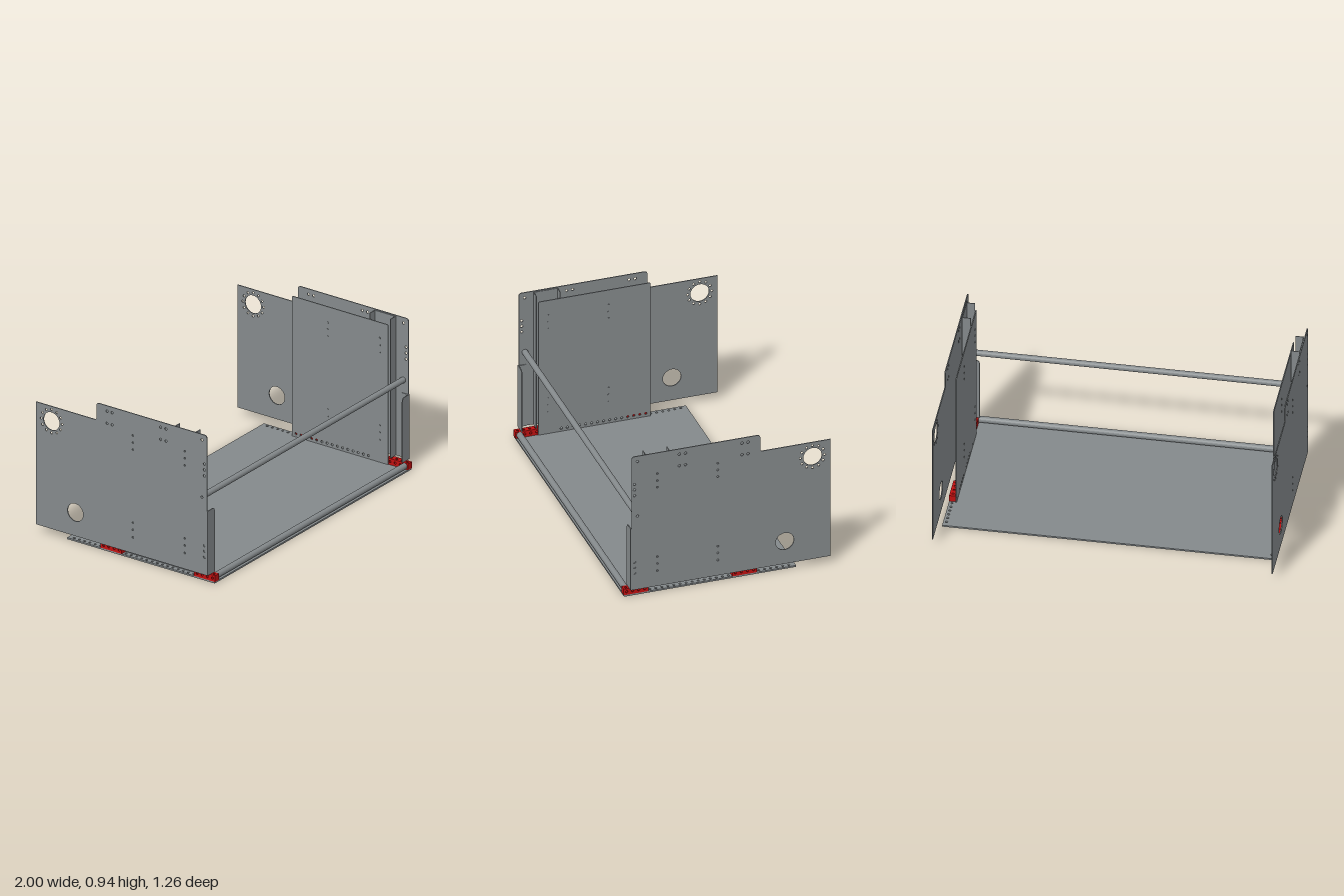
import * as THREE from 'three';

const grey = new THREE.MeshStandardMaterial({ color: 0x84898b });
grey.name = 'steelGrey';
const red = new THREE.MeshStandardMaterial({ color: 0xc01010 });
red.name = 'bracketRed';

const PITCH = 0.037;
const rowZ = (k) => -0.168 + PITCH * k; // shared perforation pitch along z

// Outline from [a, b, cornerRadius] points, with round holes [a, b, r]
function outline(points, holes = []) {
  const s = new THREE.Shape();
  const n = points.length;
  points.forEach(([a, b, r = 0], i) => {
    const p = new THREE.Vector2(a, b);
    const toward = (q) => new THREE.Vector2(q[0], q[1]).sub(p).normalize().multiplyScalar(r).add(p);
    const u = toward(points[(i + n - 1) % n]);
    const v = toward(points[(i + 1) % n]);
    if (i === 0) s.moveTo(u.x, u.y); else s.lineTo(u.x, u.y);
    if (r > 0) s.quadraticCurveTo(a, b, v.x, v.y);
  });
  s.closePath();
  for (const [a, b, r] of holes) {
    const h = new THREE.Path();
    h.absarc(a, b, r, 0, Math.PI * 2, true);
    s.holes.push(h);
  }
  return s;
}

const rect = (a0, a1, b0, b1) => [[a0, b0], [a1, b0], [a1, b1], [a0, b1]];

function extrude(shape, depth, curveSegments) {
  return new THREE.ExtrudeGeometry(shape, { depth, bevelEnabled: false, curveSegments });
}

function add(parent, name, geometry, material, x = 0, y = 0, z = 0) {
  const m = new THREE.Mesh(geometry, material);
  m.name = name;
  m.position.set(x, y, z);
  parent.add(m);
  return m;
}

// Upright plate drawn in (z, y); outer face at |x| = xOut on the given side
function sidePlate(parent, name, shape, t, xOut, side, material = grey, seg = 12) {
  const g = extrude(shape, t, seg).rotateY(-Math.PI / 2);
  return add(parent, name, g, material, side > 0 ? xOut : -xOut + t);
}

// Flat plate drawn in (x, z); top face at y = top
function flatPlate(parent, name, shape, t, top, material = grey) {
  return add(parent, name, extrude(shape, t, 6).rotateX(Math.PI / 2), material, 0, top);
}

function box(parent, name, x0, x1, y0, y1, z0, z1, material = grey) {
  return add(parent, name, new THREE.BoxGeometry(Math.abs(x1 - x0), y1 - y0, z1 - z0), material,
    (x0 + x1) / 2, (y0 + y1) / 2, (z0 + z1) / 2);
}

// Hollow round crossbar along x
function crossbar(parent, name, halfLength, r, y, z) {
  const ring = new THREE.Shape();
  ring.absarc(0, 0, r, 0, Math.PI * 2, false);
  const bore = new THREE.Path();
  bore.absarc(0, 0, r - 0.005, 0, Math.PI * 2, true);
  ring.holes.push(bore);
  const g = extrude(ring, halfLength * 2, 20).rotateY(Math.PI / 2);
  return add(parent, name, g, grey, -halfLength, y, z);
}

// Perforated square red tube with holes on all four sides
function redTube(parent, side, k0) {
  const g = new THREE.Group();
  g.name = 'redSpacerTube';
  parent.add(g);
  const z0 = rowZ(k0) - 0.0215, z1 = rowZ(k0 + 3) + 0.0185, t = 0.004;
  const ks = [0, 1, 2, 3].map((i) => rowZ(k0 + i));
  const wall = outline(rect(z0, z1, 0.01, 0.05), ks.map((z) => [z, 0.03, 0.0075]));
  for (const xo of [0.935 + t, 0.974]) sidePlate(g, 'tubeSideWall', wall, t, xo, side, red, 6);
  const xs = [0.939 * side, 0.97 * side].sort((a, b) => a - b);
  const lid = outline(rect(xs[0], xs[1], z0, z1), ks.map((z) => [0.9545 * side, z, 0.0075]));
  for (const top of [0.05, 0.01 + t]) flatPlate(g, 'tubeFlatWall', lid, t, top, red);
  for (const z of [z0, z1 - t]) box(g, 'tubeEnd', xs[0], xs[1], 0.01 + t, 0.05 - t, z, z + t, red);
}

function outerShape() {
  const holes = [[-0.52, 0.735, 0.057], [-0.35, 0.2, 0.056]];
  // bolt circle round the upper opening
  for (let i = 0; i < 12; i++) {
    const a = (i / 12) * Math.PI * 2;
    holes.push([-0.52 + 0.074 * Math.cos(a), 0.735 + 0.074 * Math.sin(a), 0.007]);
  }
  for (const y of [0.905, 0.54]) holes.push([0.552, y, 0.008]);
  for (const y of [0.755, 0.718, 0.68, 0.235, 0.2, 0.162]) holes.push([0.57, y, 0.008]);
  for (const z of [0.295, 0.258, -0.088, -0.125])
    for (const y of [0.905, 0.828]) holes.push([z, y, 0.008]);
  for (const z of [0.43, 0.06])
    for (const y of [0.8, 0.755, 0.71, 0.245, 0.2, 0.152]) holes.push([z, y, 0.006]);
  return outline([[0.588, 0.05], [0.588, 0.94, 0.02], [-0.2, 0.94, 0.02],
    [-0.2, 0.83, 0.015], [-0.63, 0.83], [-0.63, 0.05]], holes);
}

function buildSide(side) {
  const g = new THREE.Group();
  g.name = side > 0 ? 'leftSide' : 'rightSide';

  // outer and inner upright plates
  sidePlate(g, 'outerPlate', outerShape(), 0.006, 1, side);
  const slots = [];
  for (let k = 0; k <= 14; k++) slots.push([rowZ(k), 0.03, 0.0075]);
  sidePlate(g, 'innerPlate',
    outline([[0.49, 0.01], [0.49, 0.9, 0.012], [-0.197, 0.9, 0.012], [-0.197, 0.01]], slots), 0.006, 0.935, side);

  // screw heads on the inner plate
  for (const z of [0.43, 0.06])
    for (const y of [0.8, 0.755, 0.71, 0.245, 0.2, 0.152])
      add(g, 'screw', new THREE.CylinderGeometry(0.006, 0.006, 0.011, 10).rotateZ(Math.PI / 2),
        grey, side * 0.9315, y, z);

  // upright channel between the plates
  box(g, 'channelWeb', side * 0.988, side * 0.992, 0.05, 0.935, 0.35, 0.5);
  for (const z of [0.35, 0.496]) box(g, 'channelWall', side * 0.94, side * 0.99, 0.05, 0.935, z, z + 0.004);

  // low front corner bracket
  const a = side * 0.928, b = side * 0.999;
  const face = outline([[a, 0.05], [b, 0.05], [b, 0.46], [a, 0.46, 0.025]]);
  add(g, 'frontFlange', extrude(face, 0.005, 8), grey, 0, 0, 0.588);
  box(g, 'flangeLeg', side * 0.99, side * 0.994, 0.05, 0.46, 0.545, 0.588);

  // red perforated tubes, rear and front
  redTube(g, side, 0);
  redTube(g, side, 18);
  return g;
}

export function createModel() {
  const model = new THREE.Group();
  model.name = 'sideFrame';

  // floor panel with a row of holes along each edge
  const holes = [];
  for (const s of [-1, 1])
    for (let k = -6; k <= 21; k++) holes.push([s * 0.9545, rowZ(k), 0.0075]);
  flatPlate(model, 'floorPanel', outline(rect(-0.974, 0.974, -0.428, 0.625), holes), 0.01, 0.01);

  // crossbars
  crossbar(model, 'upperCrossbar', 0.995, 0.018, 0.543, 0.551);
  crossbar(model, 'lowerCrossbar', 0.936, 0.019, 0.03, 0.603);

  for (const side of [-1, 1]) model.add(buildSide(side));
  return model;
}
